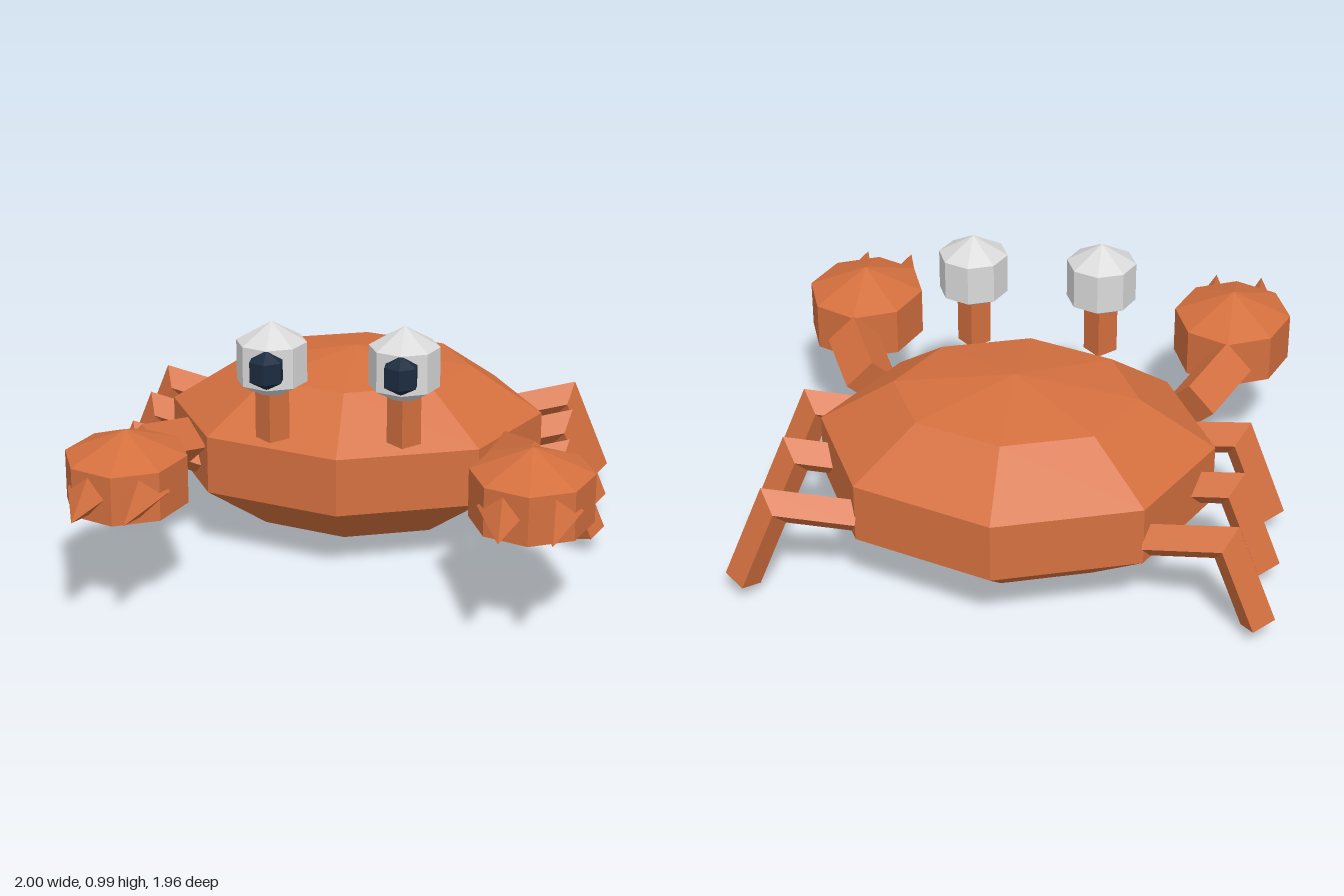
import * as THREE from 'three';

const mat = (name, color) => {
  const m = new THREE.MeshStandardMaterial({ color, flatShading: true });
  m.name = name;
  return m;
};

// Faceted ellipsoid
function blob(cols, rows, rx, ry, rz) {
  return new THREE.SphereGeometry(1, cols, rows).scale(rx, ry, rz);
}

// Square limb set on its edge, following points in one upright plane, with mitred joints
function limb(points, r) {
  const pts = points.map((p) => new THREE.Vector3(...p));
  const last = pts.length - 1;
  const up = new THREE.Vector3(0, 1, 0);
  const side = pts[last].clone().sub(pts[0]).cross(up).normalize();
  const dirs = pts.slice(1).map((p, i) => p.clone().sub(pts[i]).normalize());
  const pos = [];
  const index = [];
  pts.forEach((p, i) => {
    const a = dirs[Math.max(i - 1, 0)];
    const b = dirs[Math.min(i, last - 1)];
    const t = a.clone().add(b).normalize();
    const n = side.clone().cross(t).multiplyScalar(1 / t.dot(a));
    for (const [s, k] of [[1, 0], [0, 1], [-1, 0], [0, -1]]) {
      const v = p.clone().addScaledVector(side, s * r).addScaledVector(n, k * r);
      pos.push(v.x, v.y, v.z);
    }
    if (i < last) {
      for (let j = 0; j < 4; j++) {
        const A = i * 4 + j;
        const B = i * 4 + ((j + 1) % 4);
        index.push(A, A + 4, B, B, A + 4, B + 4);
      }
    }
  });
  const e = last * 4;
  index.push(0, 1, 2, 0, 2, 3, e, e + 2, e + 1, e, e + 3, e + 2);
  const indexed = new THREE.BufferGeometry();
  indexed.setAttribute('position', new THREE.Float32BufferAttribute(pos, 3));
  indexed.setIndex(index);
  const g = indexed.toNonIndexed();
  g.computeVertexNormals();
  return g;
}

export function createModel() {
  const crab = new THREE.Group();
  crab.name = 'crab';
  const shell = mat('orange shell', 0xd4703f);
  const white = mat('eye white', 0xdadada);
  const dark = mat('dark pupil', 0x1c2b40);

  const add = (name, geometry, material, x = 0, y = 0, z = 0) => {
    const mesh = new THREE.Mesh(geometry, material);
    mesh.name = name;
    mesh.position.set(x, y, z);
    crab.add(mesh);
  };

  add('body', blob(8, 5, 0.775, 0.366, 0.654), shell, 0, 0.37, -0.363);

  for (const s of [1, -1]) {
    const label = s > 0 ? 'left' : 'right';

    // Eye on its stalk
    const ex = s * 0.247;
    add(label + 'EyeStalk', new THREE.CylinderGeometry(0.064, 0.064, 0.24, 4), shell, ex, 0.66, 0.197);
    add(label + 'Eye', blob(8, 3, 0.153, 0.153, 0.153), white, ex, 0.845, 0.197);
    add(label + 'Pupil', blob(6, 3, 0.077, 0.077, 0.077).rotateY(Math.PI / 2), dark, ex, 0.847, 0.322);

    // Arm and claw with two pincers
    add(label + 'Arm', limb([[s * 0.62, 0.43, 0], [s * 0.745, 0.485, 0.25]], 0.1), shell);
    add(label + 'Claw', blob(8, 3, 0.263, 0.184, 0.3025), shell, s * 0.74, 0.478, 0.502);
    for (const d of [-0.093, 0.093]) {
      const cone = new THREE.ConeGeometry(0.096, 0.342, 4).rotateX(Math.PI / 2);
      add(label + 'Pincer', cone, shell, s * 0.74 + d, 0.48, 0.803);
    }

    // Three bent legs
    for (let i = 0; i < 3; i++) {
      const path = [[0.53, 0.33], [0.815, 0.385], [0.94, 0.07]].map(
        ([x, y]) => [s * x, y, -0.07 - (x - 0.53) * 0.2]);
      add(label + 'Leg' + (i + 1), limb(path, 0.067), shell, 0, 0, -0.345 * i);
    }
  }
  return crab;
}
